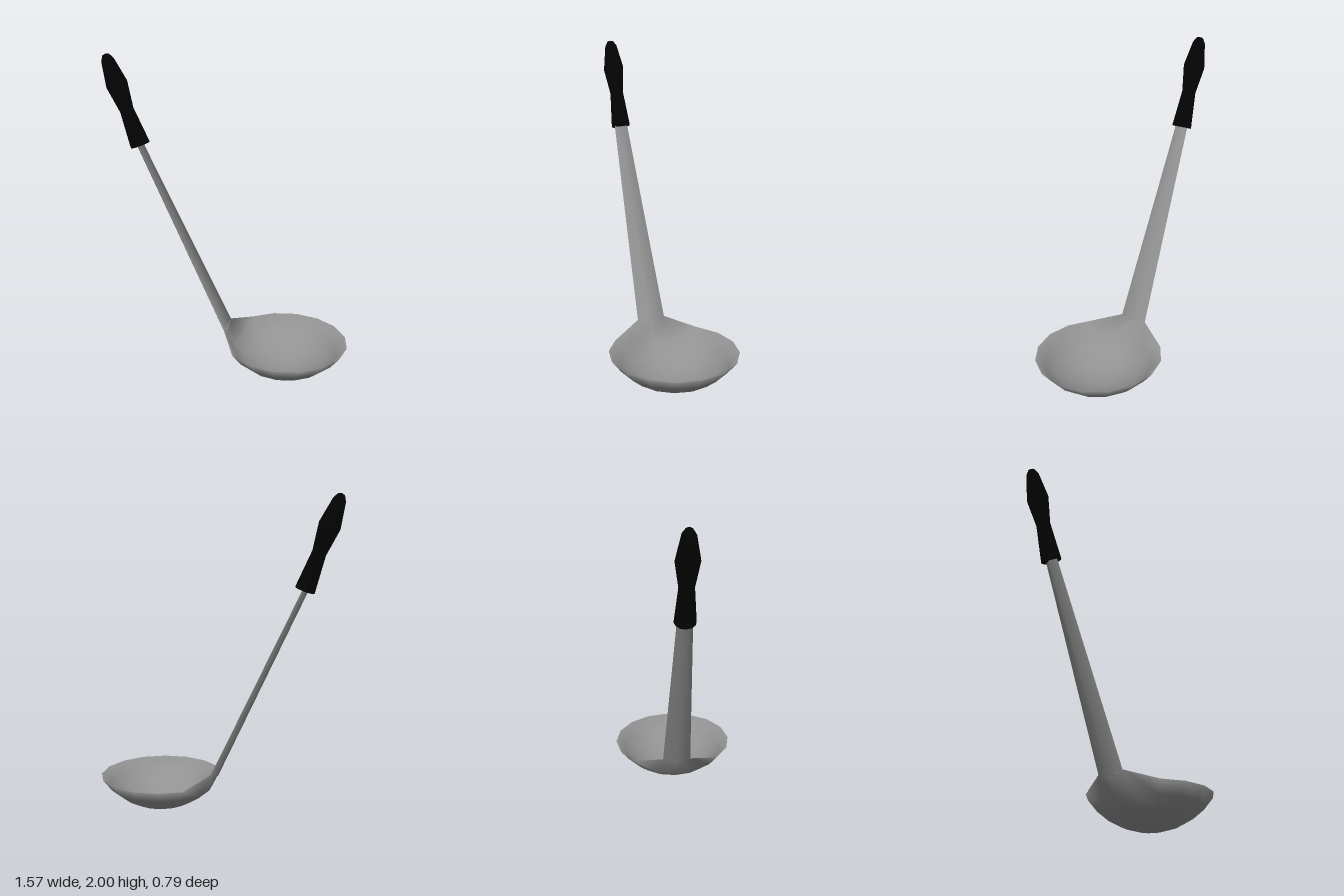
import * as THREE from 'three';
import { mergeGeometries, mergeVertices } from 'three/addons/utils/BufferGeometryUtils.js';

const CENTRE_X = 0.39;
const THICKNESS = 0.004;

// Turns a sheet into a thin closed shell. outward(v) gives the direction
// out of the rim at v (zero inside the sheet); rim normals lean that way,
// so the shading rolls softly over the edge.
function shell(sheet, outward) {
  sheet.deleteAttribute('uv');
  sheet.deleteAttribute('normal');
  const outer = mergeVertices(sheet);
  outer.computeVertexNormals();
  const inner = outer.clone();
  inner.setIndex(Array.from(outer.index.array).reverse());
  const v = new THREE.Vector3(), n = new THREE.Vector3(), m = new THREE.Vector3();
  for (let i = 0; i < outer.attributes.position.count; i++) {
    v.fromBufferAttribute(outer.attributes.position, i);
    n.fromBufferAttribute(outer.attributes.normal, i);
    const out = outward(v);
    if (out.lengthSq() === 0) {
      v.addScaledVector(n, -THICKNESS);
      inner.attributes.position.setXYZ(i, v.x, v.y, v.z);
    }
    m.copy(n).negate().addScaledVector(out, 0.8).normalize();
    n.addScaledVector(out, 0.8).normalize();
    outer.attributes.normal.setXYZ(i, n.x, n.y, n.z);
    inner.attributes.normal.setXYZ(i, m.x, m.y, m.z);
  }
  return mergeGeometries([outer, inner]);
}

export function createModel() {
  const group = new THREE.Group();
  const steel = new THREE.MeshStandardMaterial({ color: 0x929292 });
  const black = new THREE.MeshStandardMaterial({ color: 0x030303 });

  function add(name, geometry, material) {
    const mesh = new THREE.Mesh(geometry, material);
    mesh.name = name;
    group.add(mesh);
    return mesh;
  }

  // Where the handle meets the bowl: two raised edges and a lower middle
  const jointEdge = new THREE.Vector3(0.005, 0.28, 0.09);
  const jointMiddle = new THREE.Vector3(-0.003, 0.247, 0);
  const sideways = (v) => new THREE.Vector3(0, 0, Math.abs(v.z) < 0.01 ? 0 : Math.sign(v.z));

  // Bowl: a spherical cap whose rim is pulled up into the handle
  const R = 0.47, rimAngle = 0.998, rings = 5;
  const profile = [];
  for (let i = 0; i <= rings; i++) {
    const a = rimAngle * i / rings;
    profile.push(new THREE.Vector2(R * Math.sin(a), R * (1 - Math.cos(a))));
  }
  const bowl = new THREE.LatheGeometry(profile, 16);
  const rimY = profile[rings].y - 0.001;
  const p = bowl.attributes.position;
  for (let i = 0; i < p.count; i++) {
    const x = p.getX(i), z = p.getZ(i);
    p.setX(i, x + CENTRE_X);
    if (p.getY(i) > rimY && x < -0.35) {
      if (Math.abs(z) < 0.01) p.setXYZ(i, jointMiddle.x, jointMiddle.y, 0);
      else p.setXYZ(i, jointEdge.x, jointEdge.y, Math.sign(z) * jointEdge.z);
    }
  }
  add('bowl', shell(bowl, (v) => {
    if (v.y < rimY) return new THREE.Vector3();
    if (v.x < 0.02) return sideways(v);
    return new THREE.Vector3(v.x - CENTRE_X, 0.4, v.z).normalize();
  }), steel);

  // Handle: a tapering, shallow channel running up into the grip
  const topEdge = new THREE.Vector3(-0.572, 1.495, 0.042);
  const topMiddle = new THREE.Vector3(-0.592, 1.488, 0);
  const handle = new THREE.PlaneGeometry(2, 2, 2, 1);
  const h = handle.attributes.position;
  for (let i = 0; i < h.count; i++) {
    const side = -Math.round(h.getX(i)), top = h.getY(i) > 0;
    const q = side === 0 ? (top ? topMiddle : jointMiddle) : (top ? topEdge : jointEdge);
    h.setXYZ(i, q.x, q.y, side * q.z);
  }
  add('handle', shell(handle, sideways), steel);

  // Grip: a waisted, tilted turning; the doubled point keeps its foot sharp
  const gripProfile = [
    [0, 0], [0.062, 0], [0.062, 0], [0.043, 0.23], [0.067, 0.396],
    [0.039, 0.55], [0.02, 0.582], [0, 0.587],
  ].map(([r, y]) => new THREE.Vector2(r, y));
  const grip = add('grip', new THREE.LatheGeometry(gripProfile, 12), black);
  grip.position.set(-0.554, 1.448, 0);
  grip.rotation.z = 0.355;

  return group;
}
